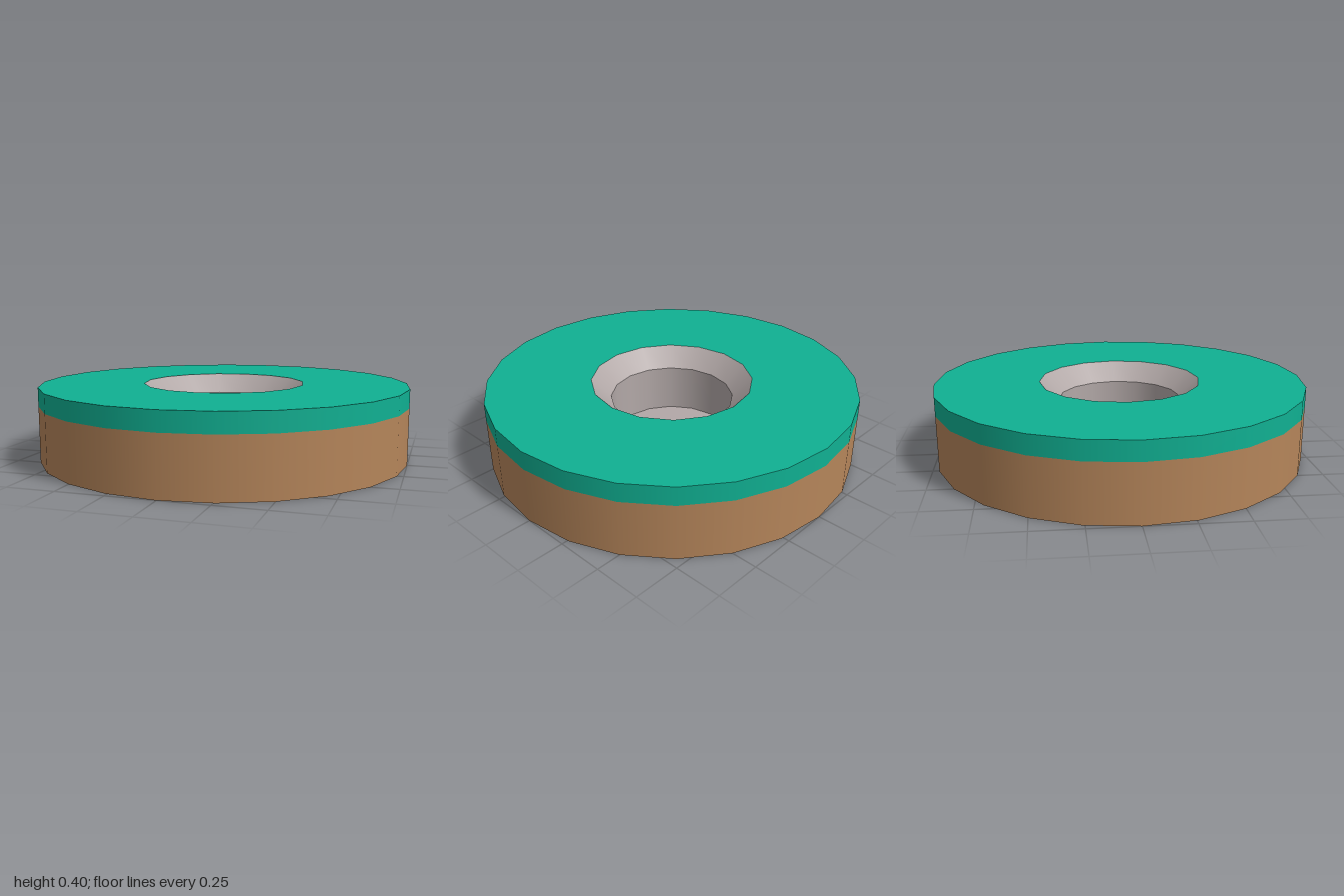
import * as THREE from 'three';

const OUTER = 1, HOLE = 0.4375, CUP = 0.333;
const TOP = 0.4, SEAM = 0.3, FLOOR = 0.04;

export function createModel() {
  const group = new THREE.Group();
  const paint = (color) => new THREE.MeshStandardMaterial({ color, side: THREE.DoubleSide });
  const teal = paint(0x10b092), brown = paint(0xb5855a), stone = paint(0xb2a8a7);

  const add = (name, geometry, material, y) => {
    const mesh = new THREE.Mesh(geometry, material);
    mesh.name = name;
    mesh.position.y = y;
    group.add(mesh);
  };

  // Open band between two heights
  const band = (name, rTop, rBottom, y0, y1, sides, material) =>
    add(name, new THREE.CylinderGeometry(rTop, rBottom, y1 - y0, sides, 1, true), material, (y0 + y1) / 2);

  const polygon = (radius, sides) => Array.from({ length: sides }, (_, i) => {
    const a = (i / sides) * Math.PI * 2;
    return new THREE.Vector2(radius * Math.cos(a), radius * Math.sin(a));
  });

  // Outer wall: earth below, grass edge above
  band('earthWall', OUTER, OUTER, 0, SEAM, 24, brown);
  band('grassEdge', OUTER, OUTER, SEAM, TOP, 24, teal);

  // Flat top with a 16-sided hole
  const surface = new THREE.Shape(polygon(OUTER, 24));
  surface.holes.push(new THREE.Path(polygon(HOLE, 16)));
  add('grassTop', new THREE.ShapeGeometry(surface).rotateX(-Math.PI / 2), teal, TOP);

  // Sunken cup: sloped rim, straight wall and floor
  band('cupRim', HOLE, CUP, SEAM, TOP, 16, stone);
  band('cupWall', CUP, CUP, FLOOR, SEAM, 16, stone);
  add('cupFloor', new THREE.CircleGeometry(CUP, 16).rotateX(-Math.PI / 2), stone, FLOOR);

  return group;
}
